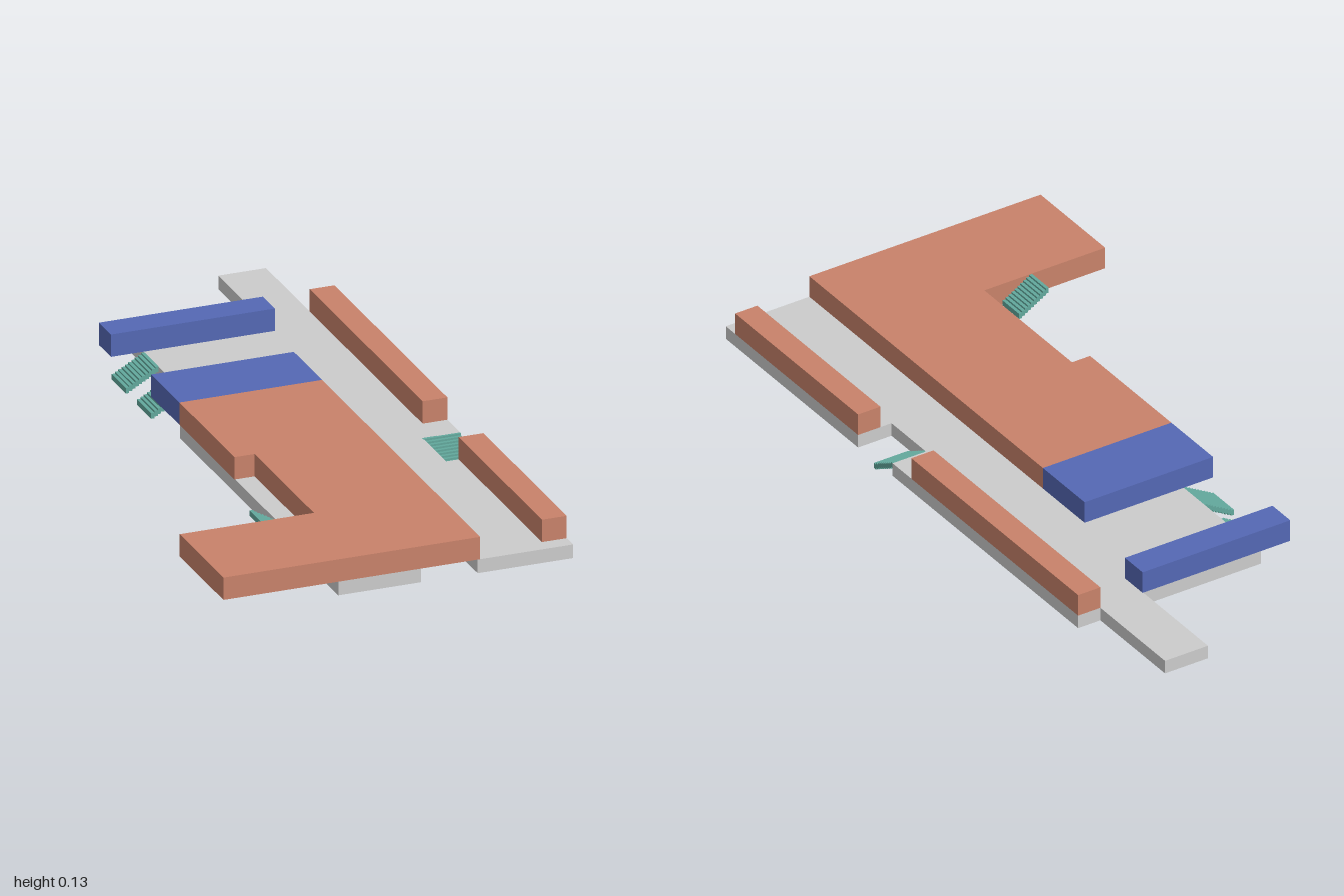
import * as THREE from 'three';

const material = (color) => new THREE.MeshStandardMaterial({ color, flatShading: true });
const grey = material(0xcccccc);
const brown = material(0xc8826a);
const blue = material(0x5468b4);
const teal = material(0x62a89c);

const SLAB_BOTTOM = 0.024, SLAB_TOP = 0.063, ROOF = 0.127;

// Flat volume from a plan outline of [x, z] corners
function planVolume(name, outline, y0, y1, mat) {
  const shape = new THREE.Shape(outline.map(([x, z]) => new THREE.Vector2(x, -z)));
  const geometry = new THREE.ExtrudeGeometry(shape, { depth: y1 - y0, bevelEnabled: false });
  geometry.rotateX(-Math.PI / 2);
  geometry.translate(0, y0, 0);
  const mesh = new THREE.Mesh(geometry, mat);
  mesh.name = name;
  return mesh;
}

function block(name, x0, x1, z0, z1, mat) {
  return planVolume(name, [[x0, z0], [x0, z1], [x1, z1], [x1, z0]], SLAB_TOP, ROOF, mat);
}

// Straight flight climbing along its own +x, stepped above and below
function stair(name, run, rise, width) {
  const flight = new THREE.Group();
  flight.name = name;
  const steps = 10, thickness = 0.016;
  const lift = (rise - thickness) / (steps - 1);
  const geometry = new THREE.BoxGeometry(run / steps, thickness, width);
  for (let i = 0; i < steps; i++) {
    const step = new THREE.Mesh(geometry, teal);
    step.name = 'step';
    step.position.set((i + 0.5) * run / steps, thickness / 2 + i * lift, 0);
    flight.add(step);
  }
  return flight;
}

export function createModel() {
  const model = new THREE.Group();
  model.name = 'buildingFloor';

  // Floor slab with rear walkway, stair recess and open slot under the halls
  model.add(planVolume('floorSlab', [
    [-0.17, 1], [0.065, 1], [0.065, -0.12], [0.225, -0.12], [0.225, 1],
    [0.495, 1], [0.495, 0.365], [0.39, 0.365], [0.39, 0.2], [0.495, 0.2],
    [0.495, -0.69], [0.425, -0.69], [0.425, -1], [0.29, -1], [0.29, -0.69],
    [-0.08, -0.69], [-0.08, -0.12], [-0.17, -0.12],
  ], SLAB_BOTTOM, SLAB_TOP, grey));

  // Large halls along the right side
  model.add(block('rearHall', -0.172, 0.232, -0.12, 0.27, brown));
  model.add(block('middleHall', -0.115, 0.232, 0.27, 0.69, brown));
  model.add(block('frontHall', -0.172, 0.232, 0.69, 1, brown));
  model.add(block('wingHall', -0.495, -0.172, 0.69, 1, brown));

  // Small classrooms along the left edge
  const rows = [[-0.69, 0.11, 4], [0.365, 0.955, 3]];
  for (const [start, end, count] of rows) {
    const length = (end - start) / count;
    for (let i = 0; i < count; i++) {
      const z = start + i * length;
      model.add(block('classroom', 0.425, 0.495, z, z + length, brown));
    }
  }

  // Blue rooms
  model.add(block('readingRoom', -0.172, 0.232, -0.32, -0.12, blue));
  model.add(block('staffRoom', -0.172, 0.292, -0.69, -0.605, blue));

  // Two flights up to the slab on the right side
  for (const z of [-0.55, -0.37]) {
    const flight = stair('rearStair', 0.093, 0.063, 0.1);
    flight.position.set(-0.172, 0, z);
    model.add(flight);
  }

  // Flight in the left recess, climbing toward the back
  const leftStair = stair('leftStair', 0.092, 0.063, 0.107);
  leftStair.rotation.y = Math.PI / 2;
  leftStair.position.set(0.441, 0, 0.29);
  model.add(leftStair);

  // Flight from the slab upward beside the wing hall
  const wingStair = stair('wingStair', 0.093, 0.066, 0.08);
  wingStair.rotation.y = Math.PI;
  wingStair.position.set(-0.172, 0.06, 0.65);
  model.add(wingStair);

  return model;
}
